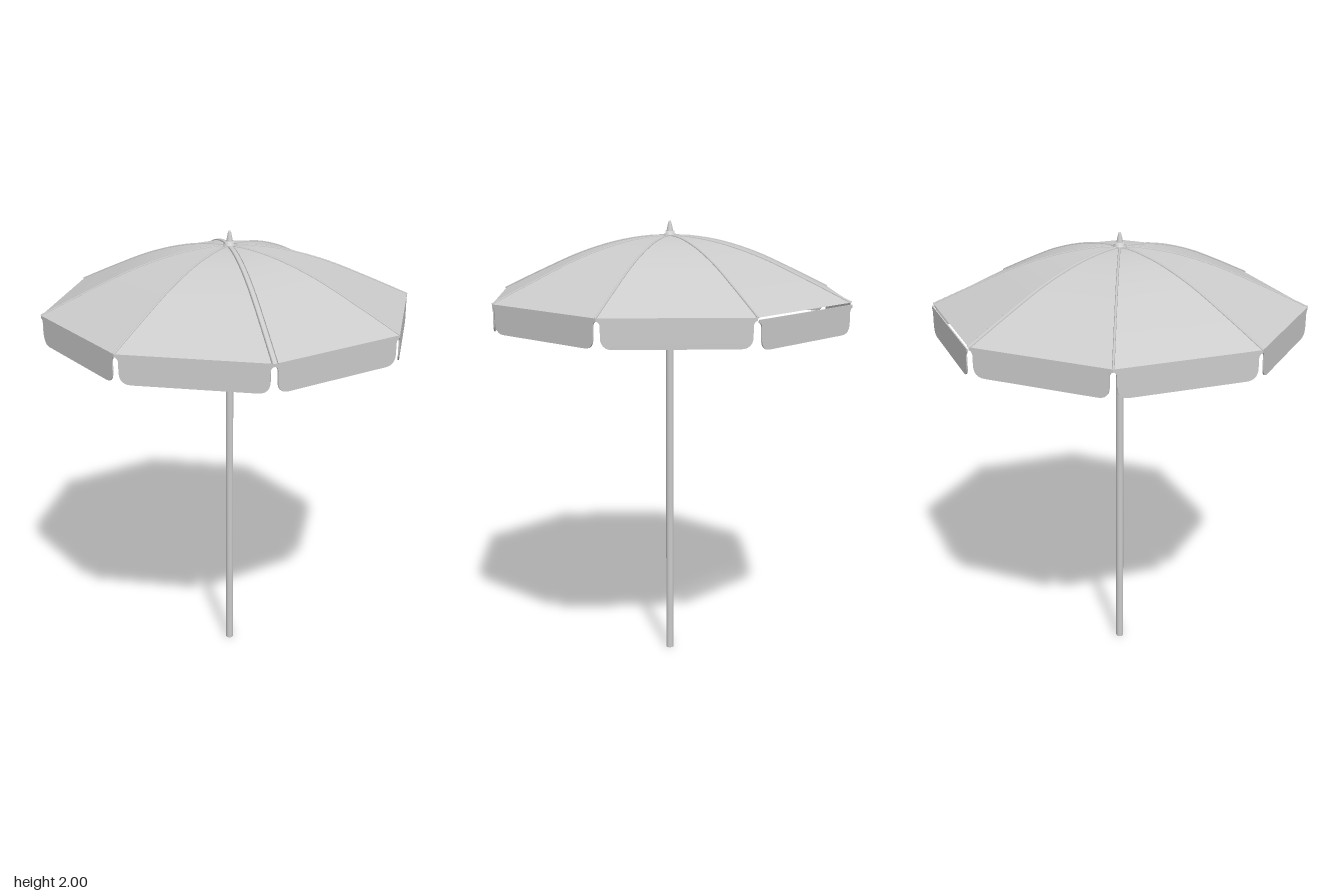
import * as THREE from 'three';

const SIDES = 8, STEP = Math.PI * 2 / SIDES, R = 0.812, RIM_Y = 1.678;
const grey = new THREE.MeshStandardMaterial({ color: 0xcccccc, side: THREE.DoubleSide });

// Smooth arc of a rib, from the crown to the rim
const arc = new THREE.CatmullRomCurve3(
  [[0.012, 1.937], [0.1, 1.932], [0.24, 1.908], [0.42, 1.853], [0.62, 1.767], [R, RIM_Y]]
    .map(([r, y]) => new THREE.Vector3(0, y, r)));

function add(parent, name, geometry) {
  const mesh = new THREE.Mesh(geometry, grey);
  mesh.name = name;
  parent.add(mesh);
  return mesh;
}

const lathe = (points, sides) =>
  new THREE.LatheGeometry(points.map(([r, y]) => new THREE.Vector2(r, y)), sides);

// Hanging flap: full width at the hem, notched at both ends, round lower corners
function flapGeometry() {
  const h = R * Math.sin(STEP / 2), w = h - 0.016, b = -0.122, c = 0.05;
  const s = new THREE.Shape();
  s.moveTo(-h, 0);
  s.lineTo(h, 0);
  s.lineTo(h, -0.012);
  s.quadraticCurveTo(w, -0.016, w, -0.035);
  s.lineTo(w, b + c);
  s.quadraticCurveTo(w, b, w - c, b);
  s.lineTo(c - w, b);
  s.quadraticCurveTo(-w, b, -w, b + c);
  s.lineTo(-w, -0.035);
  s.quadraticCurveTo(-w, -0.016, -h, -0.012);
  s.closePath();
  return new THREE.ExtrudeGeometry(s, { depth: 0.005, bevelEnabled: false, curveSegments: 6 });
}

export function createModel() {
  const umbrella = new THREE.Group();
  umbrella.name = 'parasol';

  // Eight cloth panels, each with its own normals so the seams stay crisp
  const canopy = new THREE.Group();
  canopy.name = 'canopy';
  umbrella.add(canopy);
  const profile = arc.getPoints(20).map(p => new THREE.Vector2(p.z, p.y));
  const flap = flapGeometry();
  const apothem = R * Math.cos(STEP / 2);

  for (let i = 0; i < SIDES; i++) {
    const panel = new THREE.LatheGeometry(profile, 1, i * STEP, STEP);
    panel.computeVertexNormals();
    add(canopy, 'canopyPanel', panel);

    // Flap below the rim; one hangs a little loose
    const loose = i === 3 ? 0.008 : 0;
    const holder = new THREE.Group();
    holder.name = 'valanceHolder';
    holder.rotation.y = (i + 0.5) * STEP;
    canopy.add(holder);
    const valance = add(holder, 'valanceFlap', flap);
    valance.position.set(0, RIM_Y - loose, apothem - 0.005 + loose);

    // Seam rib; the front and back ones are wider
    const wide = i % 4 === 0;
    const rib = new THREE.TubeGeometry(arc, 20, 0.005, 6);
    const ribMesh = add(canopy, 'rib', rib);
    ribMesh.rotation.y = i * STEP;
    if (wide) ribMesh.scale.x = 2.6;
  }

  // Pole with a sleeve under the crown
  add(umbrella, 'pole', new THREE.CylinderGeometry(0.017, 0.017, 1.94, 16)).position.y = 0.97;
  add(umbrella, 'sleeve', lathe(
    [[0.017, 1.79], [0.025, 1.79], [0.025, 1.89], [0.017, 1.89]], 16));

  // Crown collar and pointed tip
  add(umbrella, 'crownCollar', lathe(
    [[0, 1.93], [0.029, 1.93], [0.029, 1.943], [0.02, 1.945], [0.02, 1.957], [0, 1.957]], 16));
  add(umbrella, 'finial', lathe(
    [[0.015, 1.955], [0.012, 1.97], [0.007, 1.993], [0.004, 2], [0, 2]], 16));

  return umbrella;
}
